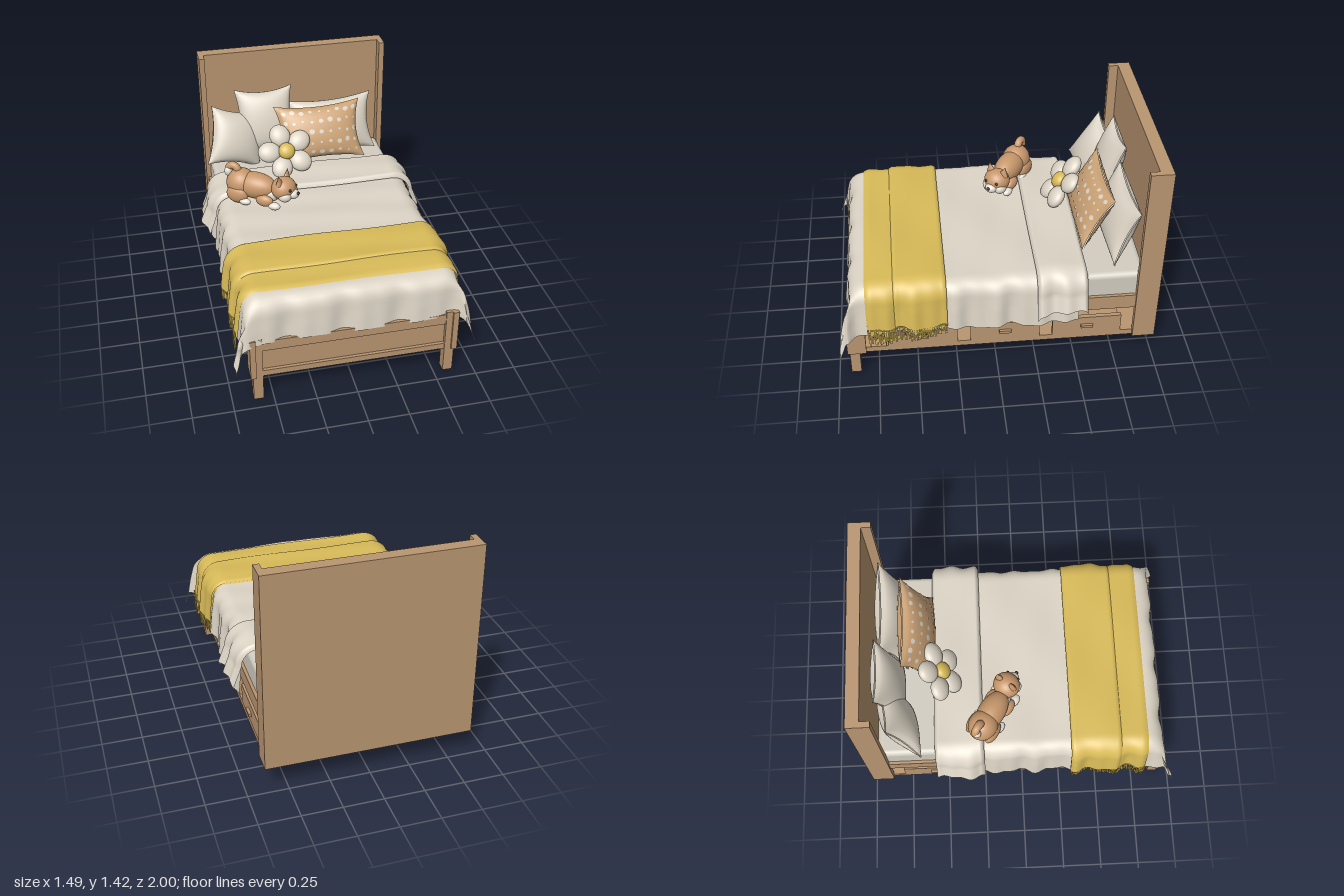
import * as THREE from 'three';
import { mergeGeometries } from 'three/addons/utils/BufferGeometryUtils.js';
import { RoundedBoxGeometry } from 'three/addons/geometries/RoundedBoxGeometry.js';

const mat = (name, color, side = THREE.FrontSide) => {
  const m = new THREE.MeshStandardMaterial({ color, side });
  m.name = name;
  return m;
};

export function createModel() {
  const wood = mat('wood', 0xb99671);
  const linen = mat('linen', 0xdcd4c5, THREE.DoubleSide);
  const sheet = mat('mattress cover', 0xd3cdc1);
  const yellow = mat('mustard wool', 0xd8ba58, THREE.DoubleSide);
  const tan = mat('tan fabric', 0xcda477);
  const fur = mat('dog fur', 0xc8986c);
  const white = mat('white fur', 0xe6dfd3);
  const dark = mat('dark brown', 0x3a2c24);

  const root = new THREE.Group();
  root.name = 'bed';
  const group = (name, parent = root) => {
    const g = new THREE.Group();
    g.name = name;
    parent.add(g);
    return g;
  };
  const add = (parent, name, geo, m, x = 0, y = 0, z = 0) => {
    const o = new THREE.Mesh(geo, m);
    o.name = name;
    o.position.set(x, y, z);
    parent.add(o);
    return o;
  };
  // box given by its limits on each axis
  const box = (parent, name, x0, x1, y0, y1, z0, z1, m = wood) =>
    add(parent, name, new THREE.BoxGeometry(x1 - x0, y1 - y0, z1 - z0), m, (x0 + x1) / 2, (y0 + y1) / 2, (z0 + z1) / 2);
  const ball = (parent, name, m, x, y, z, rx, ry, rz) =>
    add(parent, name, new THREE.SphereGeometry(1, 28, 18).scale(rx, ry, rz), m, x, y, z);

  // ---- wooden frame
  const frame = group('frame');
  box(frame, 'headboardPanel', -0.605, 0.605, 0.17, 1.42, -1, -0.92);
  box(frame, 'bottomBoard', -0.62, 0.62, 0.17, 0.21, -0.92, 0.9);
  box(frame, 'footPanel', -0.56, 0.56, 0.2, 0.38, 0.87, 0.9);
  box(frame, 'footLowerRail', -0.56, 0.56, 0.17, 0.21, 0.87, 0.92);
  box(frame, 'footUpperRail', -0.56, 0.56, 0.36, 0.43, 0.87, 0.92);
  for (const s of [-1, 1]) {
    const mirrored = (name, a, b, ...r) => box(frame, name, Math.min(s * a, s * b), Math.max(s * a, s * b), ...r);
    mirrored('headboardPost', 0.605, 0.642, 0.17, 1.42, -1, -0.86);
    mirrored('sideRail', 0.59, 0.63, 0.41, 0.51, -0.92, 0.86);
    mirrored('cornerPost', 0.6, 0.635, 0.17, 0.45, 0.82, 0.938);
    mirrored('frontLeg', 0.56, 0.62, 0, 0.45, 0.862, 0.925);
    for (const z of [0.465, -0.05, -0.565]) {
      mirrored('drawerBody', 0.22, 0.6, 0.21, 0.33, z - 0.2, z + 0.2);
      mirrored('drawerFront', 0.595, 0.622, 0.21, 0.34, z - 0.217, z + 0.217);
      mirrored('drawerHandle', 0.622, 0.64, 0.266, 0.286, z - 0.038, z + 0.038);
    }
  }
  add(root, 'mattress', new RoundedBoxGeometry(1.22, 0.23, 1.76, 4, 0.035), sheet, 0, 0.555, -0.03);

  // ---- cloth draped over the mattress: a runs across, b towards the foot
  const AX = 0.55, BZ = 0.8;
  const fall = (d, r, slope) => {
    const q = r * Math.PI / 2;
    return d < q
      ? [r * Math.sin(d / r), r * (1 - Math.cos(d / r))]
      : [r + (d - q) * slope, r + (d - q) * Math.sqrt(1 - slope * slope)];
  };
  const drape = (a, b, lift, slope) => {
    const s = Math.sign(a), da = Math.max(0, Math.abs(a) - AX), db = Math.max(0, b - BZ);
    const r = 0.1 + lift;
    const ripple = 0.012 * Math.sin(b * 27 + s) + 0.008 * Math.sin(b * 47 + 2 * s);
    const frontRipple = 0.012 * Math.sin(a * 19) + 0.006 * Math.sin(a * 37 + 1);
    const flare = da * db * 0.55;
    const x = s * (Math.min(Math.abs(a), AX) + fall(da, r, slope)[0] + flare + ripple * Math.min(1, da * 4));
    const z = Math.min(b, BZ) + fall(db, r, slope)[0] + flare + frontRipple * Math.min(1, db * 4);
    const y = 0.692 + lift - fall(Math.hypot(da, db), r, slope)[1]
      + 0.004 * Math.sin(a * 7 + b * 9) + 0.003 * Math.sin(b * 23 - a * 4);
    return [x, y, z];
  };
  const cloth = (name, m, b0, b1, over, lift, slope, parent = root, tuck = 0) => {
    const g = new THREE.PlaneGeometry(2, 1, 110, 70), p = g.attributes.position;
    for (let i = 0; i < p.count; i++) {
      const t = 0.5 - p.getY(i), b = b0 + (b1 - b0) * t;
      const a = p.getX(i) * (AX + over + 0.01 * Math.sin(b * 17));
      const edge = tuck * Math.max(0, 1 - Math.min(t, 1 - t) * 12) ** 2;
      p.setXYZ(i, ...drape(a, b, lift - edge, slope));
    }
    g.computeVertexNormals();
    return add(parent, name, g, m);
  };
  cloth('duvet', linen, -0.5, BZ + 0.335, 0.385, 0, 0.1);
  cloth('duvetFold', linen, -0.55, -0.24, 0.335, 0.042, 0.36, root, 0.03);

  const throwBlanket = group('throwBlanket');
  cloth('blanketLower', yellow, 0.31, 0.8, 0.375, 0.016, 0.12, throwBlanket, 0.012);
  cloth('blanketUpper', yellow, 0.31, 0.63, 0.37, 0.027, 0.12, throwBlanket, 0.012);
  const strands = [];
  for (const s of [-1, 1]) {
    for (let i = 0; i < 42; i++) {
      const b = 0.315 + i * 0.0116, [x, y, z] = drape(s * (AX + 0.375), b, 0.018, 0.12);
      const len = 0.06 + 0.06 * (i / 42) + 0.012 * Math.sin(i * 2.4);
      strands.push(new THREE.BoxGeometry(0.008, len, 0.0085).rotateX(0.08 * Math.sin(i * 1.7)).translate(x, y - len / 2 + 0.012, z));
    }
  }
  add(throwBlanket, 'fringe', mergeGeometries(strands), yellow);

  // ---- pillows: two puffed faces with pinched corners
  const puff = (u, v, w, h, t) => [
    u * w / 2 * (1 - 0.13 * (1 - v * v) * u * u),
    v * h / 2 * (1 - 0.15 * (1 - u * u) * v * v),
    t / 2 * Math.pow(Math.max(0, (1 - u * u) * (1 - v * v)), 0.55) + 0.003,
  ];
  const puffed = (g, w, h, t, lift = 0) => {
    const p = g.attributes.position;
    for (let i = 0; i < p.count; i++) {
      const [x, y, z] = puff(p.getX(i), p.getY(i), w, h, t);
      p.setXYZ(i, x, y, z + lift);
    }
    g.computeVertexNormals();
    return g;
  };
  const pillow = (name, m, w, h, t, pos, rot) => {
    const g = group(name);
    g.position.set(...pos);
    g.rotation.set(...rot);
    for (const turn of [0, Math.PI]) {
      add(g, 'pillowFace', puffed(new THREE.PlaneGeometry(2, 2, 30, 30), w, h, t), m).rotation.y = turn;
    }
    return g;
  };
  pillow('leftPillow', linen, 0.4, 0.4, 0.17, [-0.43, 0.86, -0.76], [-0.42, 0.3, -0.18]);
  pillow('middlePillow', linen, 0.4, 0.46, 0.15, [-0.215, 0.945, -0.81], [-0.3, 0, 0.01]);
  pillow('rightPillow', linen, 0.6, 0.4, 0.17, [0.25, 0.87, -0.79], [-0.36, 0, 0.03]);
  const spotted = pillow('spottedPillow', tan, 0.6, 0.4, 0.16, [0.13, 0.905, -0.635], [-0.48, 0, 0.01]);
  const spots = [];
  for (let i = 0; i < 9; i++) {
    for (let j = 0; j < 5; j++) {
      const k = i * 5 + j, size = 0.75 + 0.3 * Math.sin(k * 2.3);
      const c = new THREE.CircleGeometry(1, 12).scale(0.062 * size, 0.085 * size, 1);
      c.translate(-0.86 + i * 0.215 + 0.02 * Math.sin(k * 5), -0.74 + j * 0.37 + 0.03 * Math.sin(k * 3), 0);
      spots.push(puffed(c, 0.6, 0.4, 0.16, 0.004));
    }
  }
  for (const turn of [0, Math.PI]) add(spotted, 'spots', mergeGeometries(spots), linen).rotation.y = turn;

  // ---- flower cushion
  const flower = group('flowerCushion');
  flower.position.set(-0.13, 0.855, -0.495);
  flower.rotation.x = -0.68;
  for (let i = 0; i < 5; i++) {
    const a = (105 + 72 * i) * Math.PI / 180;
    ball(flower, 'petal', linen, 0.115 * Math.cos(a), 0.115 * Math.sin(a), 0, 0.078, 0.07, 0.045).rotation.z = a;
  }
  ball(flower, 'flowerCentre', yellow, 0, 0, 0.022, 0.056, 0.056, 0.04);

  // ---- plush dog, facing local +x
  const dog = group('plushDog');
  dog.position.set(-0.42, 0.7, -0.2);
  dog.rotation.y = -0.59;
  ball(dog, 'hips', fur, -0.07, 0.11, 0, 0.1, 0.1, 0.092);
  ball(dog, 'torso', fur, 0.03, 0.11, 0, 0.15, 0.088, 0.085);
  ball(dog, 'chest', white, 0.14, 0.075, 0, 0.06, 0.055, 0.06);
  const head = group('head', dog);
  head.position.set(0.225, 0.125, -0.01);
  head.rotation.y = -0.1;
  ball(head, 'skull', fur, 0, 0, 0, 0.08, 0.076, 0.086);
  ball(head, 'muzzle', white, 0.06, -0.024, 0, 0.046, 0.034, 0.042);
  ball(head, 'nose', dark, 0.105, -0.012, 0, 0.01, 0.009, 0.012);
  for (const s of [-1, 1]) {
    ball(head, 'cheek', white, 0.028, -0.03, s * 0.042, 0.046, 0.04, 0.042);
    ball(head, 'eye', dark, 0.068, 0.018, s * 0.04, 0.008, 0.01, 0.009);
    const ear = add(head, 'ear', new THREE.ConeGeometry(0.033, 0.066, 20).scale(0.6, 1, 1), fur, -0.005, 0.083, s * 0.054);
    ear.rotation.x = s * 0.2;
    ball(dog, 'frontLeg', fur, 0.12, 0.05, s * 0.066, 0.06, 0.04, 0.032);
    ball(dog, 'frontPaw', white, 0.19, 0.027, s * 0.072, 0.042, 0.025, 0.028);
    ball(dog, 'thigh', fur, -0.07, 0.06, s * 0.07, 0.075, 0.06, 0.036);
    ball(dog, 'hindPaw', white, -0.01, 0.026, s * 0.085, 0.04, 0.022, 0.025);
  }
  const tail = group('tail', dog);
  tail.position.set(-0.125, 0.195, 0);
  add(tail, 'tailCurl', new THREE.TorusGeometry(0.032, 0.025, 16, 32, 4.4), fur).rotation.z = -0.6;
  ball(tail, 'tailTip', white, -0.03, -0.01, 0.012, 0.026, 0.034, 0.025);

  return root;
}
